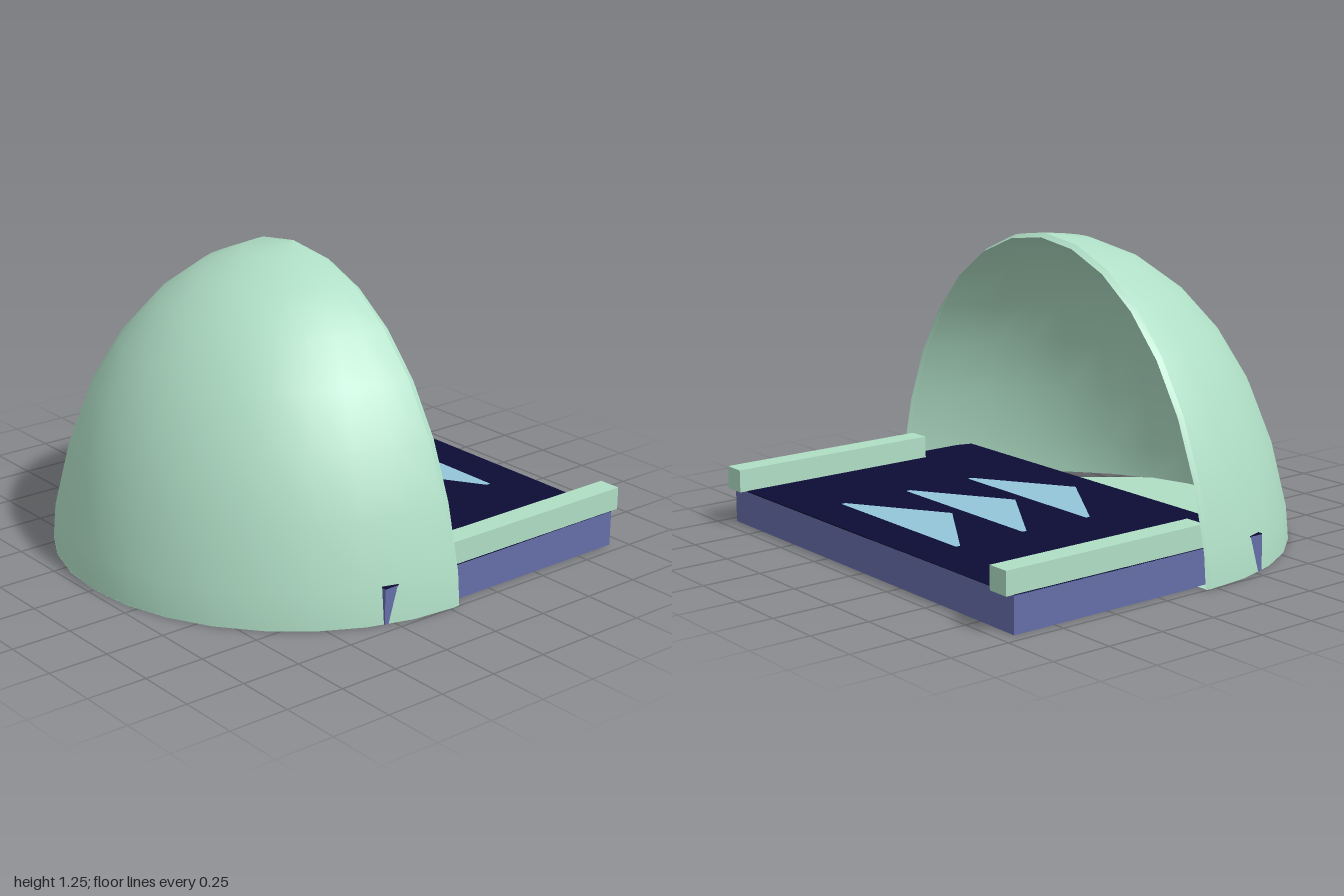
import * as THREE from 'three';

const DS = THREE.DoubleSide;
const mat = (name, color, side = THREE.FrontSide) => {
  const m = new THREE.MeshStandardMaterial({ color, side });
  m.name = name;
  return m;
};

export function createModel() {
  const group = new THREE.Group();
  const green = mat('mint green', 0xafdec5);
  const shellGreen = green;
  shellGreen.side = DS;
  const blue = mat('slate blue', 0x656da8);
  const navy = mat('dark navy', 0x0d0d35);
  const sky = mat('sky blue', 0x93c6da, DS);

  const add = (name, geometry, material, x = 0, y = 0, z = 0) => {
    const mesh = new THREE.Mesh(geometry, material);
    mesh.name = name;
    mesh.position.set(x, y, z);
    group.add(mesh);
    return mesh;
  };
  // box given by its minimum and maximum corners
  const box = (name, material, a, b) =>
    add(name, new THREE.BoxGeometry(b[0] - a[0], b[1] - a[1], b[2] - a[2]), material,
      (a[0] + b[0]) / 2, (a[1] + b[1]) / 2, (a[2] + b[2]) / 2);

  // half dome: tall ellipsoid cut just below its widest ring
  const cx = 0.025, rimX = 0.05, step = Math.PI / 16;
  const profile = [new THREE.Vector2(1, 0)];
  for (let i = 7; i >= 0; i--) {
    profile.push(new THREE.Vector2(Math.sin(i * step), 1.365 * Math.cos(i * step) - 0.115));
  }
  profile[1].set(0.988, 0.14);
  add('dome', new THREE.LatheGeometry(profile, 16, Math.PI, Math.PI), shellGreen, cx);

  // narrow turned-in rim along the open edge of the dome
  const arch = [
    ...profile.map(p => [p.x, p.y]),
    ...profile.slice(0, -1).reverse().map(p => [-p.x, p.y]),
  ];
  const pos = [], index = [];
  arch.forEach(([z, y], i) => {
    pos.push(cx, y, z, rimX, y * 0.988, z * 0.996);
    if (i) {
      const a = 2 * i - 2;
      index.push(a, a + 1, a + 2, a + 1, a + 3, a + 2);
    }
  });
  const rim = new THREE.BufferGeometry();
  rim.setAttribute('position', new THREE.Float32BufferAttribute(pos, 3));
  rim.setIndex(index);
  rim.computeVertexNormals();
  add('domeRim', rim, shellGreen);

  // partial floor of the dome, leaving one segment open
  const floor = [[rimX, 0.99], [rimX, -0.99]];
  for (let i = 0; i <= 10; i++) floor.push([cx - Math.sin(i * step), -Math.cos(i * step)]);
  floor.push([cx - Math.sin(step), Math.cos(step)]);
  const floorShape = new THREE.Shape(floor.map(p => new THREE.Vector2(...p)));
  add('domeFloor', new THREE.ShapeGeometry(floorShape).rotateX(Math.PI / 2), shellGreen, 0, 0.003);

  // platform with its dark running surface
  box('platform', blue, [-0.29, 0, -0.95], [0.935, 0.148, 0.95]);
  box('beltSurface', navy, [-0.29, 0.146, -0.95], [0.935, 0.151, 0.95]);

  // side rails
  for (const s of [-1, 1]) {
    const z = s * 0.9025;
    box(s > 0 ? 'frontRail' : 'backRail', green, [0.02, 0.15, z - 0.0475], [0.97, 0.245, z + 0.0475]);
  }

  // arrows pointing into the dome
  const arrow = new THREE.Shape([
    new THREE.Vector2(0, 0.035), new THREE.Vector2(0.25, -0.355), new THREE.Vector2(0.27, -0.355),
    new THREE.Vector2(0.27, 0.43), new THREE.Vector2(0.25, 0.43),
  ]);
  for (let i = 0; i < 3; i++) {
    // mirrored shape so that the face looks up
    const pts = arrow.getPoints().map(p => new THREE.Vector2(p.x, -p.y));
    const g = new THREE.ShapeGeometry(new THREE.Shape(pts)).rotateX(-Math.PI / 2);
    add('arrow', g, sky, -0.165 + i * 0.322, 0.154);
  }
  return group;
}
